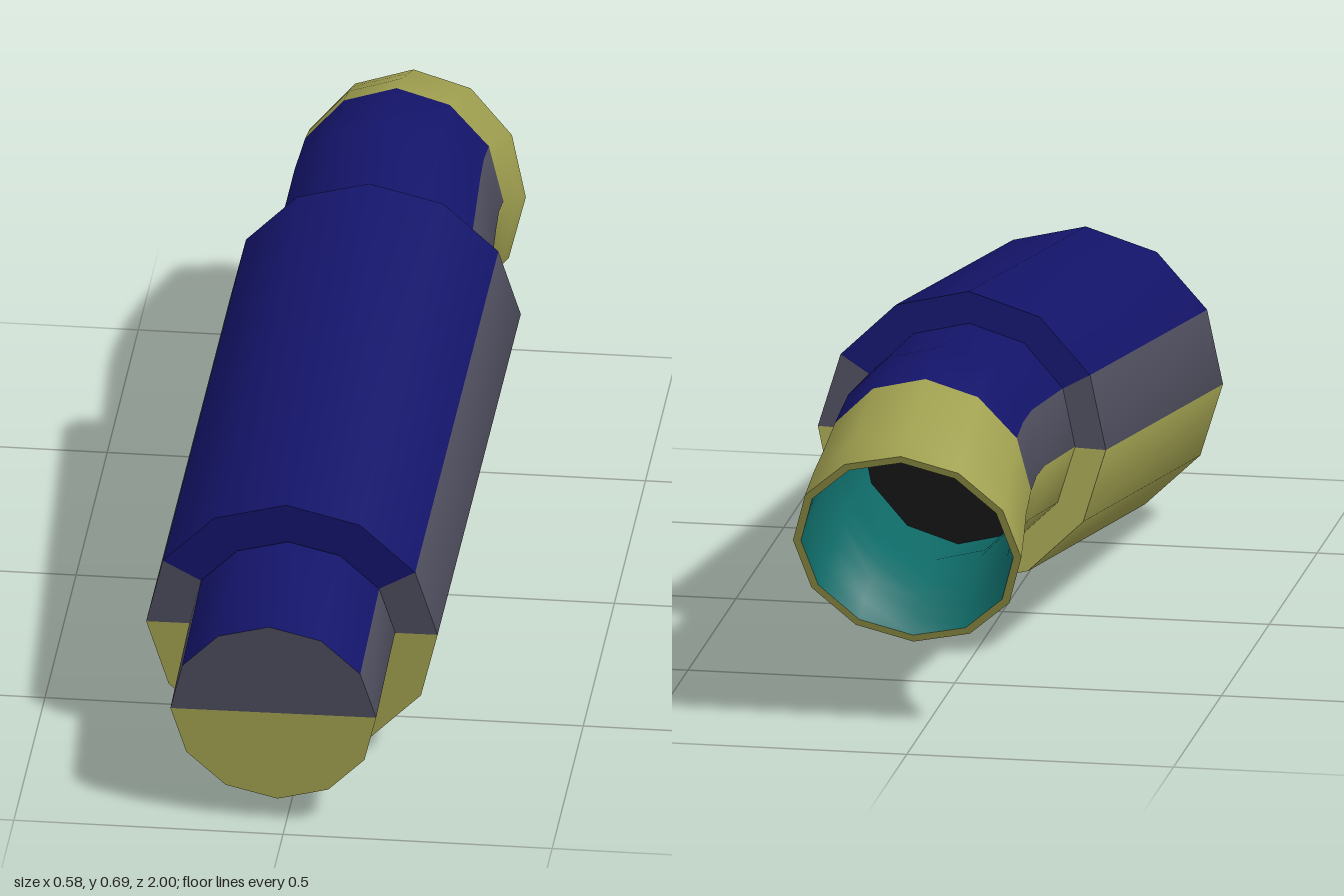
import * as THREE from 'three';

const SIDES = 12, ROLL = -0.026, YAW = 0.035;
const paint = (color) => new THREE.MeshStandardMaterial({ color });

// Ring through a top and a bottom point (z, y), centred on cx, half width rx
const ring = (topZ, topY, botZ, botY, cx, rx) => ({
  c: new THREE.Vector3(cx, (topY + botY) / 2, (topZ + botZ) / 2),
  up: new THREE.Vector3(0, (topY - botY) / 2, (topZ - botZ) / 2),
  side: new THREE.Vector3(rx, 0, rx * YAW),
});

// Same ring, scaled about its centre
const scaled = (r, k) => ({ c: r.c, up: r.up.clone().multiplyScalar(k), side: r.side.clone().multiplyScalar(k) });

// Skin a row of rings; band(height, row) picks the material of each facet
function loft(name, rings, materials, band) {
  const pos = [], index = [], geo = new THREE.BufferGeometry();
  for (const r of rings) {
    for (let i = 0; i < SIDES; i++) {
      const a = (i / SIDES) * Math.PI * 2 + ROLL;
      const p = r.c.clone().addScaledVector(r.up, Math.cos(a)).addScaledVector(r.side, Math.sin(a));
      pos.push(p.x, p.y, p.z);
    }
  }
  for (let j = 0; j < rings.length - 1; j++) {
    for (let i = 0; i < SIDES; i++) {
      const n = (i + 1) % SIDES;
      const a = j * SIDES + i, b = j * SIDES + n, c = a + SIDES, d = b + SIDES;
      const height = Math.cos(((i + 0.5) / SIDES) * Math.PI * 2);
      geo.addGroup(index.length, 6, band(height, j));
      index.push(a, b, c, c, b, d);
    }
  }
  geo.setAttribute('position', new THREE.Float32BufferAttribute(pos, 3));
  geo.setIndex(index);
  geo.computeVertexNormals();
  const mesh = new THREE.Mesh(geo, materials);
  mesh.name = name;
  return mesh;
}

export function createModel() {
  const group = new THREE.Group();
  group.name = 'exhaustMuffler';

  // Blue on top, grey on the flanks, yellow below
  const shell = [paint(0x14146a), paint(0x4c4c5c), paint(0xa0a050)];
  const teal = [paint(0x0f6b68)], dark = [paint(0x101010)];
  const byHeight = (h) => (h > 0.5 ? 0 : h > 0 ? 1 : 2);
  const plain = () => 0;

  // Inlet stub with a closed front
  const inletFront = ring(1.0, 0.43, 0.95, 0.05, -0.021, 0.192);
  const inletBack = ring(0.72, 0.465, 0.67, 0.085, -0.018, 0.192);
  group.add(loft('inletPipe', [inletFront, inletBack], shell, byHeight));
  group.add(loft('inletCap', [scaled(inletFront, 0), inletFront], shell, (h) => (h > 0 ? 1 : 2)));

  // Wide canister with flat ends
  const bodyFront = ring(0.725, 0.543, 0.66, 0.002, -0.019, 0.272);
  const bodyBack = ring(-0.292, 0.695, -0.357, 0.15, 0.018, 0.272);
  group.add(loft('canister', [bodyFront, bodyBack], shell, byHeight));
  group.add(loft('canisterFront', [scaled(bodyFront, 0), bodyFront], shell, byHeight));
  group.add(loft('canisterBack', [bodyBack, scaled(bodyBack, 0)], shell, byHeight));

  // Tail pipe bending down into a flared, slanted mouth
  const tail = [
    ring(-0.29, 0.635, -0.35, 0.212, 0.014, 0.21),
    ring(-0.59, 0.67, -0.60, 0.25, 0.013, 0.2),
    ring(-0.68, 0.667, -0.645, 0.25, 0.013, 0.197),
    ring(-0.76, 0.655, -0.69, 0.24, 0.013, 0.198),
    ring(-0.85, 0.63, -0.735, 0.217, 0.014, 0.202),
    ring(-0.93, 0.6, -0.77, 0.19, 0.016, 0.21),
    ring(-1.0, 0.572, -0.803, 0.163, 0.017, 0.215),
  ];
  group.add(loft('tailPipe', tail, shell, (h, row) => (row > 2 ? 2 : byHeight(h))));

  // Rim, inner wall and the dark end deep inside
  const inner = tail.map((r) => scaled(r, 0.93)).reverse();
  const mouth = tail[tail.length - 1], deep = inner[inner.length - 1];
  group.add(loft('mouthRim', [mouth, inner[0]], shell, () => 2));
  group.add(loft('tailInside', inner, teal, plain));
  deep.c.z -= 0.01;
  group.add(loft('tailEnd', [deep, scaled(deep, 0)], dark, plain));

  return group;
}
